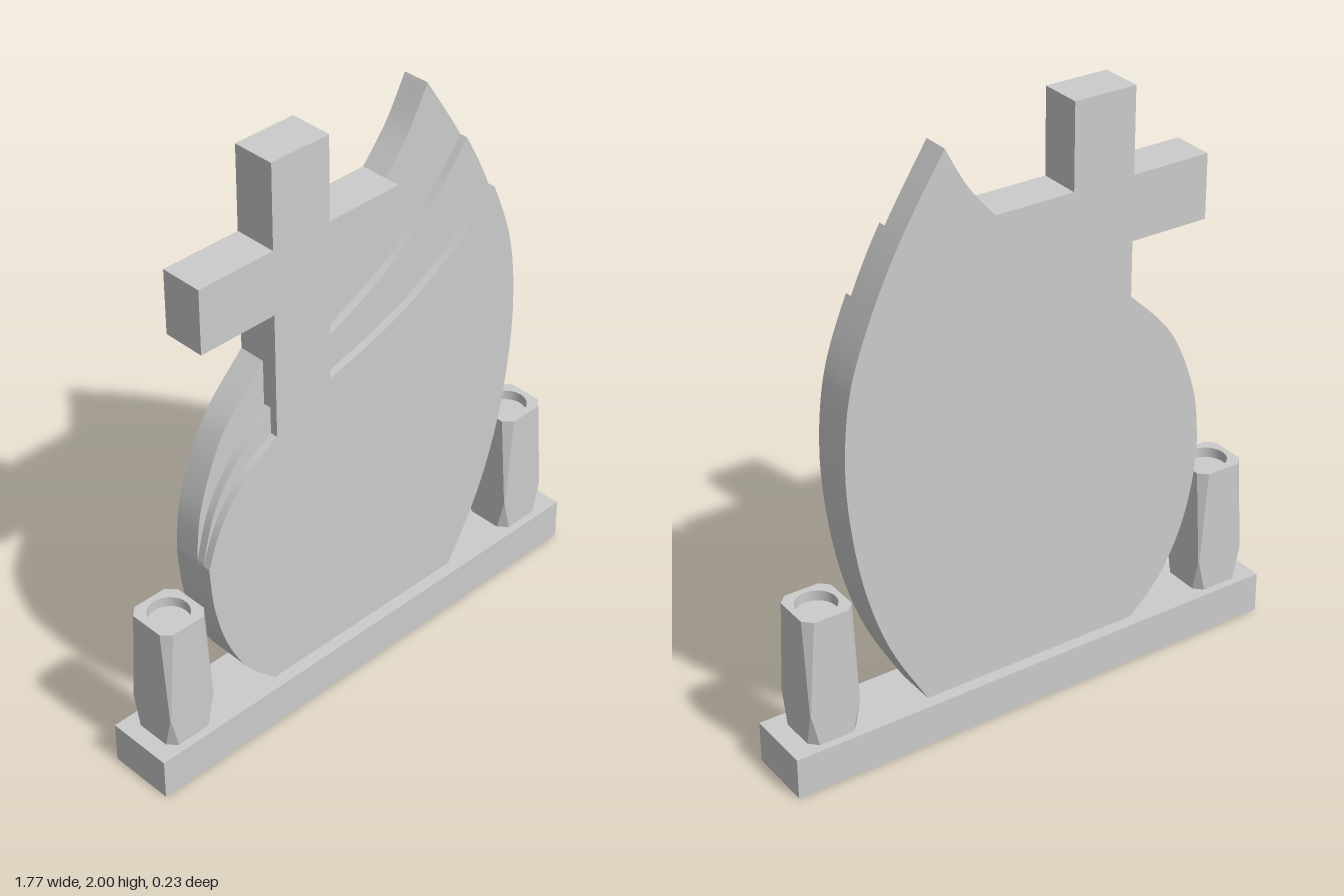
import * as THREE from 'three';
import { toCreasedNormals } from 'three/addons/utils/BufferGeometryUtils.js';

const BASE_TOP = 0.142;
const DEPTH = 0.072;
const material = new THREE.MeshStandardMaterial({ color: 0xcccccc });

const points = (list) => list.map(([x, y]) => new THREE.Vector2(x, y));
const smooth = (list, n = 20) => new THREE.SplineCurve(points(list)).getPoints(n);

function addMesh(parent, name, geometry, mat = material) {
  const mesh = new THREE.Mesh(geometry, mat);
  mesh.name = name;
  parent.add(mesh);
  return mesh;
}

// Outer edges of the flame-shaped stone
const rightEdge = smooth([
  [0.3, 1.965], [0.445, 1.735], [0.547, 1.532], [0.628, 1.31], [0.656, 1.08],
  [0.645, 0.85], [0.6, 0.6], [0.52, 0.37], [0.394, BASE_TOP],
], 64);
const leftEdge = smooth([
  [-0.39, BASE_TOP], [-0.5, 0.255], [-0.58, 0.405], [-0.625, 0.57], [-0.64, 0.73],
], 24);

// Cross outline, clockwise from the left of the stem to the right arm
const crossTop = points([
  [-0.36, 1.502], [-0.635, 1.502], [-0.635, 1.718], [-0.36, 1.718],
  [-0.36, 2], [-0.143, 2], [-0.143, 1.718], [0.132, 1.718],
]);
const crossUnderArm = points([[0.132, 1.502], [-0.143, 1.502]]);

// Each layer: its depth range, left shoulder curve and upper right curve
const layers = [
  {
    name: 'backLayer', from: -DEPTH, to: 0.019, underArm: false,
    left: [[-0.64, 0.73], [-0.615, 0.92], [-0.52, 1.145], [-0.36, 1.318]],
    right: [[0.132, 1.718], [0.225, 1.832], [0.3, 1.965]],
  },
  {
    name: 'middleLayer', from: 0.019, to: 0.046, underArm: true,
    left: [[-0.64, 0.73], [-0.59, 0.9], [-0.49, 1.05], [-0.36, 1.165]],
    right: [[-0.143, 1.293], [0.02, 1.368], [0.167, 1.455], [0.325, 1.592], [0.445, 1.735]],
  },
  {
    name: 'frontLayer', from: 0.046, to: DEPTH, underArm: true,
    left: [[-0.64, 0.73], [-0.585, 0.865], [-0.49, 0.985], [-0.36, 1.073]],
    right: [[-0.143, 1.172], [0.03, 1.22], [0.2, 1.285], [0.378, 1.39], [0.547, 1.532]],
  },
];

function createLayer({ from, to, left, right, underArm }) {
  const endY = right[right.length - 1][1];
  const outline = [
    ...leftEdge,
    ...smooth(left).slice(1),
    ...crossTop,
    ...(underArm ? crossUnderArm : []),
    ...smooth(right).slice(underArm ? 0 : 1),
    ...rightEdge.filter((p) => p.y < endY - 0.005),
  ];
  const geometry = new THREE.ExtrudeGeometry(new THREE.Shape(outline), {
    depth: to - from, bevelEnabled: false,
  });
  geometry.translate(0, 0, from);
  return toCreasedNormals(geometry, 0.4);
}

// Square section with its corners cut by c, counter-clockwise in x and depth
function cutSquare(h, c) {
  return [
    [h, -h + c], [h, h - c], [h - c, h], [-h + c, h],
    [-h, h - c], [-h, -h + c], [-h + c, -h], [h - c, -h],
  ];
}

function createVase() {
  const vase = new THREE.Group();
  const half = 0.087, top = 0.587, cut = 0.028, radius = 0.066, hole = 0.035;

  // Body lofted through three sections, corners sharpest near the foot
  const sections = [[BASE_TOP, cut], [0.255, 0.002], [top, cut]];
  const positions = [];
  const rings = sections.map(([y, c]) => cutSquare(half, c).map(([x, d]) => [x, y, -d]));
  for (let r = 0; r < rings.length - 1; r++) {
    for (let i = 0; i < 8; i++) {
      const j = (i + 1) % 8;
      const a = rings[r][i], b = rings[r][j], c = rings[r + 1][j], d = rings[r + 1][i];
      positions.push(...a, ...b, ...c, ...a, ...c, ...d);
    }
  }
  const body = new THREE.BufferGeometry();
  body.setAttribute('position', new THREE.Float32BufferAttribute(positions, 3));
  body.computeVertexNormals();
  addMesh(vase, 'vaseBody', body);

  // Rim with a round opening
  const rimShape = new THREE.Shape(points(cutSquare(half, cut)));
  rimShape.holes.push(new THREE.Path().absarc(0, 0, radius, 0, Math.PI * 2, true));
  const rim = new THREE.ShapeGeometry(rimShape, 16);
  rim.rotateX(-Math.PI / 2);
  rim.translate(0, top, 0);
  addMesh(vase, 'vaseRim', rim);

  // Inner wall and floor of the opening
  const wallMaterial = material.clone();
  wallMaterial.side = THREE.DoubleSide;
  const wall = new THREE.CylinderGeometry(radius, radius, hole, 32, 1, true);
  addMesh(vase, 'vaseInnerWall', wall, wallMaterial).position.y = top - hole / 2;
  const floor = new THREE.CircleGeometry(radius, 32);
  floor.rotateX(-Math.PI / 2);
  addMesh(vase, 'vaseFloor', floor).position.y = top - hole;
  return vase;
}

export function createModel() {
  const model = new THREE.Group();
  model.name = 'monument';

  // Plinth
  const plinth = new THREE.BoxGeometry(1.774, BASE_TOP, 0.228);
  addMesh(model, 'plinth', plinth).position.y = BASE_TOP / 2;

  // Layered stone with the cross running through every layer
  const stone = new THREE.Group();
  stone.name = 'stoneWithCross';
  for (const layer of layers) addMesh(stone, layer.name, createLayer(layer));
  model.add(stone);

  // Vases at both ends
  for (const [name, x] of [['rightVase', -0.743], ['leftVase', 0.732]]) {
    const vase = createVase();
    vase.name = name;
    vase.position.x = x;
    model.add(vase);
  }
  return model;
}
